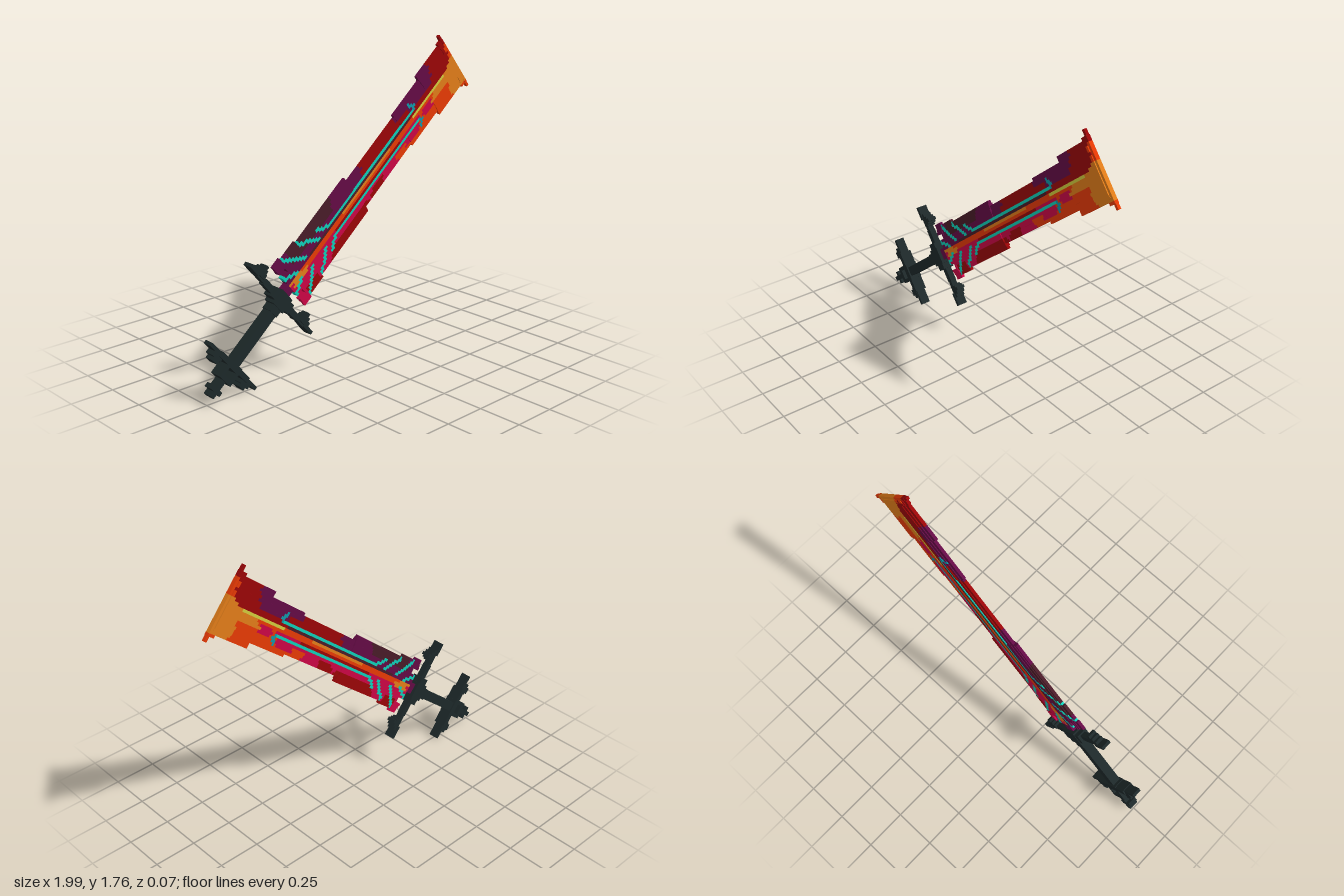
import * as THREE from 'three';
import { mergeGeometries } from 'three/addons/utils/BufferGeometryUtils.js';

const COLORS = {
  steel: 0x1d2829, darkRed: 0x9a0507, purple: 0x640a45, plum: 0x491b28, magenta: 0xcb0545,
  orangeRed: 0xe83a04, orange: 0xe27d19, yellow: 0xd2cb3c, teal: 0x0ecfb8, deepTeal: 0x0f98a8,
};
const CELL = 0.016;

// Half width of the blade along its length: [end, halfWidth]
const WIDTHS = [[0.15, 0.18], [0.27, 0.162], [0.74, 0.15], [1.09, 0.105], [1.22, 0.115],
  [1.5, 0.13], [1.73, 0.158], [1.765, 0.18], [1.79, 0.2]];
const halfWidth = (u) => (WIDTHS.find(([end]) => u < end) || [0, 0])[1];

// Painted patches of the blade, later ones on top: [colour, u0, u1, v0, v1, slant]
const PATCHES = [
  ['darkRed', 0, 2, 0, 0.3, 0],
  ['magenta', 0, 2, -0.3, 0, 0],
  ['purple', 0, 0.82, 0, 0.3, 0.4],
  ['plum', 0.13, 0.52, 0.075, 0.3, 0.5],
  ['purple', 1.2, 1.34, 0.08, 0.3, 0],
  ['purple', 1.29, 1.53, 0.055, 0.3, 0.5],
  ['darkRed', 0.15, 0.26, -0.3, -0.1, 0],
  ['darkRed', 0.45, 0.83, -0.3, -0.08, 0.5],
  ['darkRed', 0.86, 0.98, -0.3, -0.07, 0.5],
  ['orangeRed', 1.03, 2, -0.3, -0.065, -0.6],
  ['orangeRed', 1.24, 2, -0.3, -0.05, 0],
  ['orangeRed', 1.36, 2, -0.3, 0, 0],
  ['magenta', 1.18, 1.33, -0.1, -0.05, 0],
  ['magenta', 1.39, 1.49, -0.058, -0.018, 0],
  ['orange', 1.5, 2, -0.05, 0.01, 0],
  ['orange', 1.64, 2, -0.17, 0.015, 0],
  ['orange', 1.71, 2, -0.18, 0.05, 0],
  ['orangeRed', 1.755, 2, 0.05, 0.15, 0],
  ['orangeRed', 1.73, 2, -0.3, -0.165, 0],
  ['plum', 0.3, 1.3, 0.012, 0.036, 0],
  ['darkRed', 0.5, 1.15, -0.036, -0.016, 0],
  ['orangeRed', 0.12, 1.4, -0.018, 0.014, 0],
  ['orange', 0.1, 0.22, -0.034, 0.014, 0],
  ['orange', 0.62, 1.1, -0.002, 0.014, 0],
  ['yellow', 1.34, 1.67, -0.002, 0.016, 0],
];

// Glowing inlays, mirrored over the blade's axis: [colour, u0, v0, u1, v1]
const INLAYS = [
  ['deepTeal', 1.35, 0.046, 1.37, 0.055],
  ['deepTeal', 1.37, 0.055, 1.34, 0.08],
  ['teal', 0.476, 0.042, 1.335, 0.042],
  ['teal', 0.42, 0.087, 0.476, 0.042],
  ['teal', 0.284, 0.131, 0.387, 0.045],
  ['teal', 0.16, 0.146, 0.27, 0.036],
  ['teal', 0.09, 0.065, 0.17, 0.025],
];

function nearLine(u, v, [, u0, v0, u1, v1]) {
  const du = u1 - u0, dv = v1 - v0;
  const t = Math.min(1, Math.max(0, ((u - u0) * du + (v - v0) * dv) / (du * du + dv * dv)));
  return Math.hypot(u - u0 - t * du, v - v0 - t * dv) < CELL * 0.72;
}

// Colour and half thickness of one blade cell, or null outside the blade
function bladeCell(u, v) {
  const a = Math.abs(v), w = halfWidth(u);
  if (a > w) return null;
  if (u < 0.13 && a > 0.075 && a < 0.115) return null;
  if (u < 0.09 && a > 0.03) return null;
  let color = 'purple';
  if (u > 0.09) {
    const ragged = u + 0.012 * Math.sin(v * 130) + 0.008 * Math.sin(v * 290);
    for (const [c, u0, u1, v0, v1, slant] of PATCHES) {
      const s = ragged - slant * v;
      if (s > u0 && s < u1 && v > v0 && v < v1) color = c;
    }
    for (const line of INLAYS) if (nearLine(u, a, line)) color = line[0];
  }
  // stepped bevels towards the long edges and the tip
  let half = a > w - 0.03 ? 0.009 : a > w - 0.06 ? 0.014 : 0.018;
  if (u > 1.77) half = Math.min(half, 0.012);
  return { color, half };
}

function box(u0, u1, v0, v1, half) {
  return new THREE.BoxGeometry(u1 - u0, v1 - v0, half * 2).translate((u0 + u1) / 2, (v0 + v1) / 2, 0);
}

export function createModel() {
  const materials = {};
  for (const [name, color] of Object.entries(COLORS)) {
    materials[name] = new THREE.MeshStandardMaterial({ color });
    materials[name].name = name;
  }
  const sword = new THREE.Group();
  sword.name = 'sword';
  const add = (parent, name, boxes, color) => {
    const mesh = new THREE.Mesh(mergeGeometries(boxes), materials[color]);
    mesh.name = name;
    parent.add(mesh);
  };

  // Blade: rows of cells, equal neighbours joined into one box
  const blade = new THREE.Group();
  blade.name = 'blade';
  const byColor = {};
  const start = 0.02, columns = Math.round((1.787 - start) / CELL);
  for (let j = -13; j <= 12; j++) {
    const v = (j + 0.5) * CELL;
    let run = null;
    for (let i = 0; i <= columns; i++) {
      const u = start + (i + 0.5) * CELL;
      const cell = i < columns ? bladeCell(u, v) : null;
      if (run && (!cell || cell.color !== run.color || cell.half !== run.half)) {
        (byColor[run.color] ||= []).push(box(run.u0, u - CELL / 2, v - CELL / 2, v + CELL / 2, run.half));
        run = null;
      }
      if (cell && !run) run = { ...cell, u0: u - CELL / 2 };
    }
  }
  for (const [color, boxes] of Object.entries(byColor)) add(blade, color + 'BladeCells', boxes, color);
  sword.add(blade);

  // Boxes repeated on both sides of the axis
  const mirrored = (list) => list.flatMap(([u0, u1, v0, v1, h]) => [box(u0, u1, v0, v1, h), box(u0, u1, -v1, -v0, h)]);

  // Crossguard: centre block, slim arms, spurred ends
  add(sword, 'crossguard', [
    box(-0.05, 0.04, -0.05, 0.05, 0.037),
    box(-0.032, 0.028, -0.085, 0.085, 0.034),
    ...mirrored([
      [-0.018, 0.018, 0.08, 0.17, 0.018],
      [-0.012, 0.014, 0.16, 0.25, 0.018],
      [-0.01, 0.01, 0.24, 0.32, 0.03],
      [0, 0.03, 0.19, 0.27, 0.026],
      [0.02, 0.048, 0.2, 0.25, 0.026],
      [0.04, 0.066, 0.212, 0.232, 0.026],
    ]),
  ], 'steel');

  // Grip with a collar below the guard
  add(sword, 'grip', [box(-0.44, 0, -0.028, 0.028, 0.028), box(-0.09, -0.04, -0.034, 0.034, 0.032)], 'steel');

  // Pommel: crossbar with spurs, small ring and end cap
  add(sword, 'pommel', [
    box(-0.46, -0.42, -0.05, 0.05, 0.037),
    box(-0.53, -0.502, -0.052, 0.052, 0.037),
    box(-0.635, -0.52, -0.014, 0.014, 0.03),
    box(-0.605, -0.58, -0.04, 0.04, 0.028),
    ...mirrored([
      [-0.455, -0.425, 0.04, 0.13, 0.037],
      [-0.45, -0.43, 0.12, 0.22, 0.028],
      [-0.51, -0.45, 0.03, 0.052, 0.037],
      [-0.475, -0.44, 0.1, 0.17, 0.03],
      [-0.495, -0.47, 0.11, 0.15, 0.03],
    ]),
  ], 'steel');

  // Lean the sword and set its place
  sword.rotation.z = THREE.MathUtils.degToRad(40);
  sword.position.set(-0.5, 0.46, 0);
  const model = new THREE.Group();
  model.name = 'leaningSword';
  model.add(sword);
  return model;
}
